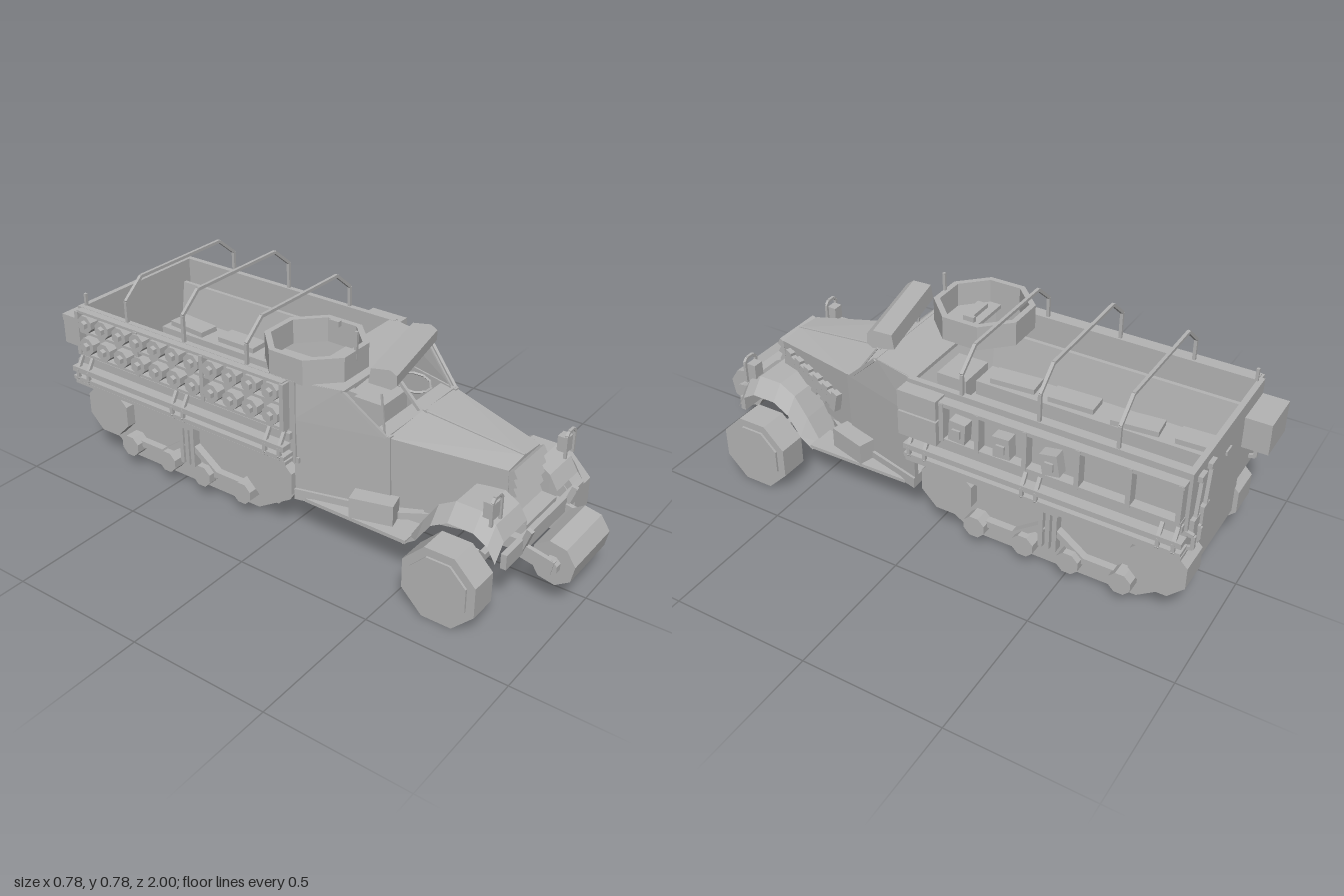
import * as THREE from 'three';
import { ConvexGeometry } from 'three/addons/geometries/ConvexGeometry.js';

export function createModel() {
  const root = new THREE.Group();
  root.name = 'halfTrack';
  const grey = new THREE.MeshStandardMaterial({ name: 'plain grey', color: 0xb4b4b4, flatShading: true, side: THREE.DoubleSide });
  const V = (x, y, z) => new THREE.Vector3(x, y, z);

  const add = (name, geo) => {
    const m = new THREE.Mesh(geo, grey);
    m.name = name;
    root.add(m);
    return m;
  };
  // box given by its limits on each axis
  const box = (name, x0, x1, y0, y1, z0, z1) => {
    const m = add(name, new THREE.BoxGeometry(x1 - x0, y1 - y0, z1 - z0));
    m.position.set((x0 + x1) / 2, (y0 + y1) / 2, (z0 + z1) / 2);
    return m;
  };
  const convex = (name, pts) => add(name, new ConvexGeometry(pts.map(p => V(...p))));
  // straight bar between two points
  const beam = (name, a, b, w, h = w) => {
    const A = V(...a), B = V(...b);
    const m = add(name, new THREE.BoxGeometry(w, h, A.distanceTo(B)));
    m.position.copy(A).add(B).multiplyScalar(0.5);
    m.lookAt(B);
    return m;
  };
  const bars = (name, pts, w) => pts.slice(1).forEach((p, i) => beam(name, pts[i], p, w));
  // outline in (z, y) extruded across x
  const profile = (name, pts, x0, x1) => {
    const s = new THREE.Shape(pts.map(([z, y]) => new THREE.Vector2(-z, y)));
    const g = new THREE.ExtrudeGeometry(s, { depth: x1 - x0, bevelEnabled: false });
    return add(name, g.rotateY(Math.PI / 2).translate(x0, 0, 0));
  };
  // many-sided drum lying along x, flats up and down
  const drum = (name, x, y, z, r, w, n = 8) => {
    const g = new THREE.CylinderGeometry(r, r, w, n).rotateY(Math.PI / n).rotateZ(Math.PI / 2);
    const m = add(name, g);
    m.position.set(x, y, z);
    return m;
  };
  const both = f => [1, -1].forEach(f);
  // box on either side of the centre line
  const sideBox = (name, s, a, b, ...r) => box(name, Math.min(s * a, s * b), Math.max(s * a, s * b), ...r);

  // rear body
  box('lowerHull', -0.165, 0.165, 0.16, 0.31, -0.905, 0.1);
  box('compartmentFloor', -0.29, 0.29, 0.305, 0.325, -0.905, 0.08);
  box('rearPlate', -0.29, 0.29, 0.3, 0.605, -0.91, -0.89);
  both(s => {
    sideBox('bodySide', s, 0.272, 0.293, 0.305, 0.605, -0.91, 0.07);
    sideBox('bench', s, 0.1, 0.272, 0.32, 0.38, -0.89, 0.05);
    convex('benchBack', [-0.89, 0.05].flatMap(z => [[s * 0.215, 0.38, z], [s * 0.225, 0.38, z], [s * 0.235, 0.52, z], [s * 0.25, 0.52, z]]));
  });
  [[-0.16, -0.78, 0.05], [-0.15, -0.55, 0.1], [-0.16, -0.31, 0.04], [-0.16, -0.08, 0.08],
    [0.16, -0.78, -0.08], [0.165, -0.54, 0], [0.16, -0.31, 0.03], [0.16, -0.08, 0.08]].forEach(([x, z, a]) => {
    const m = box('cushion', x - 0.04, x + 0.04, 0.38, 0.4, z - 0.085, z + 0.085);
    m.rotation.y = a;
  });

  // canvas bows
  [[-0.13, 0.752], [-0.405, 0.775], [-0.67, 0.755]].forEach(([z, y]) =>
    bars('canvasBow', [[-0.285, 0.59, z], [-0.285, y - 0.073, z], [-0.205, y - 0.005, z],
      [0.205, y - 0.005, z], [0.285, y - 0.073, z], [0.285, 0.59, z]], 0.011));
  beam('aerial', [-0.27, 0.6, -0.89], [-0.27, 0.65, -0.89], 0.01);

  // cab
  convex('cabFloor', [0.16, 0.2].flatMap(y => [[0.29, y, 0.06], [-0.29, y, 0.06], [0.2, y, 0.42], [-0.2, y, 0.42], [0.15, y, 0.5], [-0.15, y, 0.5]]));
  both(s => {
    convex('cabSide', [[0.17, 0.012], [0.47, 0]].flatMap(([y, d]) =>
      [[s * (0.292 - d), y, 0.06], [s * (0.272 - d), y, 0.06], [s * (0.207 - d), y, 0.38], [s * (0.187 - d), y, 0.38]]));
    convex('cabUpperSide', [[0.06, 0.465, 0.292], [0.06, 0.603, 0.288], [0.22, 0.603, 0.25], [0.36, 0.465, 0.213]]
      .flatMap(([z, y, x]) => [[s * x, y, z], [s * (x - 0.014), y, z]]));
    sideBox('cabSeat', s, 0.05, 0.2, 0.2, 0.4, 0.06, 0.18);
  });
  convex('cabRoof', [0.59, 0.604].flatMap(y => [[0.285, y, 0.05], [-0.285, y, 0.05], [0.25, y, 0.22], [-0.25, y, 0.22]]));
  convex('dashboard', [0.39, 0.465].flatMap(y => [[0.2, y, 0.37], [-0.2, y, 0.37], [0.21, y, 0.31], [-0.21, y, 0.31]]));
  const steering = add('steeringWheel', new THREE.TorusGeometry(0.06, 0.005, 4, 10));
  steering.position.set(0.13, 0.48, 0.25);
  steering.rotation.x = -1.4;

  // windscreen frame with struts
  bars('windscreenFrame', [[-0.207, 0.465, 0.365], [-0.25, 0.6, 0.225], [0.25, 0.6, 0.225], [0.207, 0.465, 0.365], [-0.207, 0.465, 0.365]], 0.011);
  beam('windscreenPost', [0, 0.46, 0.365], [0, 0.6, 0.225], 0.012);
  both(s => beam('flapStrut', [s * 0.2, 0.465, 0.355], [s * 0.2, 0.61, s < 0 ? 0.34 : 0.25], 0.006));
  beam('bonnetCatch', [0, 0.43, 0.42], [0, 0.475, 0.38], 0.014);

  // rolled cover lying askew on the roof
  const roll = profile('rolledCover', [[-0.048, -0.025], [-0.04, 0.028], [0.025, 0.034], [0.048, 0.018], [0.048, -0.018], [0.03, -0.034]], -0.182, 0.182);
  roll.position.set(0.017, 0.639, 0.278);
  roll.rotation.y = 0.21;

  // open gun ring
  const R = 0.175, ring = new THREE.Shape(), hole = new THREE.Path();
  [[ring, R], [hole, R - 0.022]].forEach(([p, r]) =>
    p.setFromPoints(Array.from({ length: 8 }, (_, i) => new THREE.Vector2(r * Math.cos((i + 0.5) * Math.PI / 4), r * Math.sin((i + 0.5) * Math.PI / 4)))));
  ring.holes.push(hole);
  add('gunRing', new THREE.ExtrudeGeometry(ring, { depth: 0.088, bevelEnabled: false }).rotateX(-Math.PI / 2)).position.set(-0.13, 0.602, 0.035);
  beam('gunPost', [-0.13, 0.6, 0.19], [-0.13, 0.755, 0.195], 0.01);
  box('ringStep', -0.23, -0.04, 0.6, 0.62, 0.08, 0.12);
  box('ringCatch', -0.015, 0, 0.68, 0.7, 0, 0.04);

  // bonnet and slatted grille
  convex('bonnet', [[0.206, 0.465, 0.37], [-0.206, 0.465, 0.37], [0, 0.472, 0.37], [0.19, 0.2, 0.37], [-0.19, 0.2, 0.37],
    [0.1, 0.43, 0.745], [-0.1, 0.43, 0.745], [0, 0.438, 0.745], [0.09, 0.25, 0.745], [-0.09, 0.25, 0.745]]);
  beam('bonnetHinge', [0, 0.472, 0.37], [0, 0.437, 0.745], 0.008);
  for (let i = 0; i < 5; i++) {
    const y = 0.415 - i * 0.034, w = 0.098 - i * 0.003;
    box('grilleSlat', -w, w, y - 0.014, y + 0.014, 0.74, 0.77).rotation.x = -0.5;
  }
  convex('chassisNose', [[0.1, 0.26, 0.82], [-0.1, 0.26, 0.82], [0.1, 0.19, 0.82], [-0.1, 0.19, 0.82],
    [0.15, 0.27, 0.48], [-0.15, 0.27, 0.48], [0.15, 0.165, 0.48], [-0.15, 0.165, 0.48]]);
  // toothed spare track strip on the left bonnet side
  for (let i = 0; i < 11; i++) {
    const t = i / 10, z = 0.7 - 0.25 * t;
    const m = box('spareTrackLink', -0.014, 0.014, -0.037 + 0.012 * (i % 2), 0.037 - 0.012 * (i % 2), -0.015, 0.015);
    m.position.set(0.12 + 0.07 * t, 0.38 - 0.055 * t, z);
    m.rotation.set(-0.2, -0.27, 0);
  }

  // arched front wings, lofted along a path of (z, y), with an inner wall
  const arch = [[0.82, 0.28], [0.79, 0.33], [0.74, 0.36], [0.65, 0.36], [0.59, 0.325], [0.54, 0.25], [0.49, 0.165]];
  both(s => {
    const pos = [], idx = [];
    arch.forEach(([z, y], i) => {
      const inner = 0.1 + Math.max(0, 0.75 - z) * 0.2;
      pos.push(s * inner, Math.min(y, 0.2), z, s * inner, y, z, s * 0.245, y, z, s * 0.292, Math.max(y - 0.055, 0.16), z);
      if (i) for (let k = 0; k < 3; k++) {
        const a = (i - 1) * 4 + k, b = i * 4 + k;
        idx.push(...(s > 0 ? [a, a + 1, b, a + 1, b + 1, b] : [a, b, a + 1, a + 1, b, b + 1]));
      }
    });
    const g = new THREE.BufferGeometry();
    g.setAttribute('position', new THREE.Float32BufferAttribute(pos, 3));
    g.setIndex(idx);
    g.computeVertexNormals();
    add('wing', g);
    // running board from the wing to the cab
    convex('runningBoard', [0.162, 0.175].flatMap(y => [[s * 0.29, y, 0.5], [s * 0.18, y, 0.5], [s * 0.285, y, 0.1], [s * 0.2, y, 0.3]]));

    // headlamp in its guard
    sideBox('headlamp', s, 0.218, 0.258, 0.35, 0.405, 0.75, 0.785);
    bars('lampGuard', [[s * 0.212, 0.335, 0.785], [s * 0.212, 0.415, 0.785], [s * 0.225, 0.428, 0.785],
      [s * 0.255, 0.428, 0.785], [s * 0.268, 0.415, 0.785], [s * 0.268, 0.335, 0.785]], 0.01);

    // front wheel
    const r = 0.13 / Math.cos(Math.PI / 8);
    drum('frontTyre', s * 0.33, 0.13, 0.68, r, 0.104);
    drum('tyreCentre', s * 0.332, 0.13, 0.68, r * 0.78, 0.116);
    drum('wheelHub', s * 0.27, 0.13, 0.68, 0.05, 0.04);
    // step box beside the cab
    const step = sideBox('stepBox', s, 0.205, 0.27, 0.17, 0.25, 0.27, 0.42);
    step.rotation.y = -s * 0.27;
    // roller mounting
    beam('rollerArm', [s * 0.14, 0.2, 0.82], [s * 0.14, 0.175, 0.94], 0.016, 0.05);
    beam('rollerBracket', [s * 0.145, 0.2, 0.83], [s * 0.15, 0.285, 0.86], 0.016, 0.02);
    beam('chassisRail', [s * 0.13, 0.21, 0.5], [s * 0.13, 0.21, 0.83], 0.03, 0.045);
  });
  bars('frontAxle', [[-0.28, 0.14, 0.68], [-0.165, 0.14, 0.68], [-0.12, 0.09, 0.68], [0.12, 0.09, 0.68], [0.165, 0.14, 0.68], [0.28, 0.14, 0.68]], 0.024);
  box('bumper', -0.257, 0.257, 0.192, 0.245, 0.82, 0.84);
  const roller = drum('frontRoller', 0, 0.175, 0.926, 0.078, 0.24);
  roller.rotation.x = 0.2;
  drum('rollerAxle', 0, 0.175, 0.926, 0.03, 0.29);

  // tracks and running gear
  both(s => {
    const a = s > 0 ? 0.175 : -0.237;
    profile('trackBelt', [[0.035, 0.16], [0, 0.105], [-0.14, 0.02], [-0.75, 0.02], [-0.88, 0.11], [-0.918, 0.16], [-0.918, 0.24],
      [-0.87, 0.292], [-0.01, 0.292], [0.035, 0.25]], a, a + 0.062);
    drum('driveDrum', s * 0.215, 0.198, -0.06, 0.105, 0.12);
    drum('idlerDrum', s * 0.215, 0.198, -0.825, 0.104, 0.12);
    [-0.175, -0.36, -0.525, -0.71].forEach(z => drum('roadWheel', s * 0.222, 0.09, z, 0.042, 0.135));
    [[-0.175, -0.36], [-0.525, -0.71]].forEach(([p, q]) => beam('bogieLink', [s * 0.25, 0.1, p], [s * 0.25, 0.1, q], 0.03, 0.025));
    [-0.415, -0.44, -0.465].forEach(z => sideBox('bogieSpring', s, 0.235, 0.27, 0.1, 0.27, z - 0.008, z + 0.008));
    sideBox('bogieMount', s, 0.235, 0.275, 0.25, 0.292, -0.48, -0.4);
    both(d => beam('bogieArm', [s * 0.25, 0.18, -0.44 + d * 0.02], [s * 0.25, 0.1, -0.44 + d * 0.13], 0.03, 0.022));

    // side shelf with its braces
    sideBox('shelfBottom', s, 0.29, 0.335, 0.312, 0.325, -0.915, 0.06);
    sideBox('shelfEdge', s, 0.29, 0.343, 0.332, 0.346, -0.915, 0.06);
    sideBox('shelfTopRail', s, 0.305, 0.345, 0.365, 0.385, -0.915, 0.06);
    sideBox('shelfInner', s, 0.29, 0.31, 0.395, 0.42, -0.9, 0.06);
    [0.04, -0.02, -0.38, -0.43, -0.84, -0.89].forEach(z =>
      bars('shelfBrace', [[s * 0.325, 0.32, z], [s * 0.34, 0.345, z], [s * 0.34, 0.375, z], [s * 0.305, 0.43, z]], 0.012));
  });

  // left side: locker, frame and stowed cans
  box('sideLocker', 0.29, 0.347, 0.42, 0.51, -0.07, 0.075);
  box('sideLockerLid', 0.29, 0.347, 0.517, 0.59, -0.07, 0.075);
  [0.44, 0.575].forEach(y => box('stowageRail', 0.293, 0.33, y - 0.007, y + 0.007, -0.9, -0.07));
  [-0.08, -0.21, -0.38, -0.56, -0.73, -0.89].forEach(z => box('stowagePost', 0.293, 0.332, 0.44, 0.58, z - 0.008, z + 0.008));
  [-0.14, -0.3, -0.47].forEach((z, i) => {
    box('stowedCan', 0.293, 0.335, 0.455, 0.53, z - 0.03, z + 0.03).rotation.x = 0.12 * (i - 0.5);
    box('canCap', 0.325, 0.343, 0.475, 0.505, z - 0.015, z + 0.015);
  });

  // right side: rack with two rows of discs
  [0.435, 0.525, 0.6].forEach(y => box('discRail', -0.32, -0.29, y - 0.006, y + 0.004, -0.89, 0.04));
  [0.04, -0.3, -0.6, -0.89].forEach(z => box('discRackPost', -0.325, -0.29, 0.43, 0.6, z - 0.008, z + 0.008));
  for (let i = 0; i < 11; i++) [0.475, 0.562].forEach(y => {
    drum('stowedDisc', -0.311, y, -0.005 - i * 0.084, 0.034, 0.036);
    drum('discCap', -0.333, y, -0.005 - i * 0.084, 0.017, 0.024, 6);
  });

  // rear fittings: box, tools, tow hooks
  box('rearBox', -0.29, -0.135, 0.435, 0.54, -1, -0.91);
  box('rearBoxLid', -0.293, -0.132, 0.525, 0.55, -1, -0.91);
  [0.16, 0.235].forEach(x => {
    beam('toolHandle', [x, 0.56, -0.918], [x + 0.02, 0.42, -0.918], 0.012);
    box('toolBlade', x, x + 0.045, 0.365, 0.43, -0.925, -0.91);
    box('toolGrip', x - 0.02, x + 0.02, 0.555, 0.575, -0.925, -0.91);
  });
  box('rearLatch', -0.02, 0.02, 0.5, 0.515, -0.916, -0.905);
  both(s => [0.24, 0.29].forEach(x =>
    bars('rearHook', [[s * x, 0.39, -0.905], [s * x, 0.385, -0.932], [s * x, 0.34, -0.932], [s * x, 0.335, -0.91]], 0.012)));
  return root;
}
